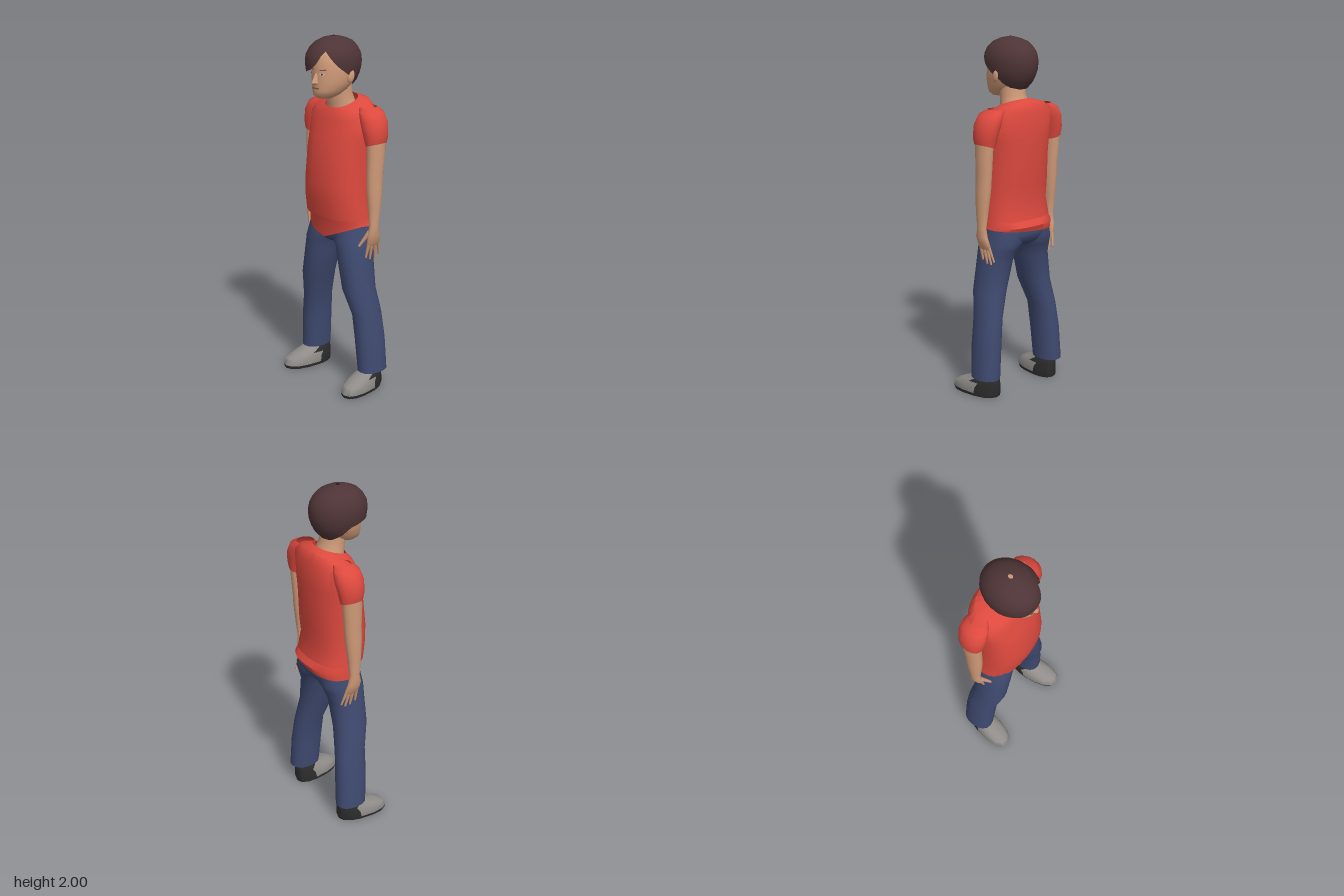
import * as THREE from 'three';
import { toCreasedNormals } from 'three/addons/utils/BufferGeometryUtils.js';

const mat = (name, color, side = THREE.FrontSide) => {
  const m = new THREE.MeshStandardMaterial({ color, side });
  m.name = name;
  return m;
};

// Skin a stack of point rings, listed from top to bottom.
function skinRings(rings, capped, crease = 0.9) {
  const n = rings[0].length, pos = [], idx = [];
  rings.forEach(r => r.forEach(p => pos.push(p.x, p.y, p.z)));
  for (let i = 0; i < rings.length - 1; i++) {
    for (let j = 0; j < n; j++) {
      const k = (j + 1) % n, u = i * n, l = u + n;
      idx.push(l + j, l + k, u + k, l + j, u + k, u + j);
    }
  }
  if (capped) {
    [0, rings.length - 1].forEach((r, end) => {
      const c = new THREE.Vector3();
      rings[r].forEach(p => c.addScaledVector(p, 1 / n));
      const ci = pos.length / 3, o = r * n;
      pos.push(c.x, c.y, c.z);
      for (let j = 0; j < n; j++) {
        const k = (j + 1) % n;
        if (end) idx.push(ci, o + k, o + j);
        else idx.push(ci, o + j, o + k);
      }
    });
  }
  const g = new THREE.BufferGeometry();
  g.setAttribute('position', new THREE.Float32BufferAttribute(pos, 3));
  g.setIndex(idx);
  return toCreasedNormals(g, crease);
}

// Section: [y, centre x, half width, front z, back z, forward tilt].
function loft(sections, { s = 1, n = 16, pow = 1, capped = true, adjust, crease } = {}) {
  const soft = v => Math.sign(v) * Math.abs(v) ** pow;
  const rings = sections.map(([y, cx, rx, zf, zb, tilt = 0], i) =>
    Array.from({ length: n }, (_, j) => {
      const a = j / n * Math.PI * 2, rz = (zf - zb) / 2;
      const dz = soft(Math.cos(a)) * rz;
      const p = new THREE.Vector3(s * cx + soft(Math.sin(a)) * rx, y + tilt * dz, (zf + zb) / 2 + dz);
      if (adjust) adjust(p, i);
      return p;
    }));
  return skinRings(rings, capped, crease);
}

// Linear interpolation through [key, value] pairs.
function sample(table, x) {
  for (let i = 1; i < table.length; i++) {
    const [x0, y0] = table[i - 1], [x1, y1] = table[i];
    if (x <= x1) return y0 + (y1 - y0) * (x - x0) / (x1 - x0);
  }
  return table[table.length - 1][1];
}

// Hair cap with a swept fringe and a parting on the left.
function hairGeometry() {
  const edge = [[-180, 1.72], [-140, 1.72], [-112, 1.75], [-92, 1.8], [-60, 1.815], [-30, 1.81],
    [0, 1.835], [15, 1.86], [25, 1.9], [33, 1.945], [45, 1.91], [65, 1.85], [80, 1.82],
    [95, 1.79], [112, 1.75], [140, 1.72], [180, 1.72]];
  const width = [[1.72, 0.6], [1.76, 0.82], [1.81, 0.96], [1.86, 1], [1.9, 0.98], [1.94, 0.85],
    [1.97, 0.66], [1.99, 0.38], [2, 0.08]];
  const rings = [], n = 40, rows = 12;
  for (let i = 0; i <= rows; i++) {
    const t = (i / rows) ** 1.6;
    rings.push(Array.from({ length: n }, (_, j) => {
      const deg = -180 + j / n * 360, a = deg * Math.PI / 180;
      const y = 2 - (2 - sample(edge, deg)) * t, w = sample(width, y);
      return new THREE.Vector3(-0.013 + Math.sin(a) * 0.137 * w, y, 0.024 + Math.cos(a) * 0.166 * w);
    }));
  }
  return skinRings(rings, false, 1.2);
}

export function createModel() {
  const root = new THREE.Group();
  root.name = 'standingFigure';
  const skin = mat('skin', 0xcf9a78), hair = mat('hair', 0x4e3436, THREE.DoubleSide);
  const red = mat('redCloth', 0xdd493e, THREE.DoubleSide), denim = mat('denim', 0x3f4a70, THREE.DoubleSide);
  const grey = mat('shoeGrey', 0x8f8c89), black = mat('shoeBlack', 0x2c2c2d);
  const white = mat('eyeWhite', 0xd8c4b4), lip = mat('lip', 0x8a5548);
  const add = (name, geo, m, parent = root) => {
    const mesh = new THREE.Mesh(geo, m);
    mesh.name = name;
    parent.add(mesh);
    return mesh;
  };

  // Shirt body, with a neckline lower at the front
  add('shirt', loft([
    [1.645, 0, 0.09, 0.06, -0.105, -0.35], [1.625, 0, 0.165, 0.075, -0.15, -0.3],
    [1.58, 0, 0.215, 0.085, -0.17, -0.2], [1.46, 0, 0.205, 0.115, -0.173],
    [1.38, 0, 0.2, 0.135, -0.17], [1.2, 0, 0.2, 0.157, -0.165], [1.1, 0, 0.205, 0.15, -0.15],
    [1.005, 0, 0.212, 0.135, -0.168]], { n: 24, pow: 0.85, capped: false }), red);

  // Uneven shirt tail over the hips
  add('shirtTail', loft([
    [1.02, 0, 0.203, 0.125, -0.16], [0.975, 0, 0.208, 0.115, -0.19], [0.94, 0, 0.212, 0.108, -0.178]],
  { n: 24, pow: 0.85, capped: false, adjust: (p, i) => {
    if (i < 2) return;
    if (p.z > 0) p.y = 0.88 + Math.abs(p.x) * (p.x > 0 ? 0.42 : 0.22);
    else p.y = 0.945 + p.x * 0.08;
  } }), red);

  // Trousers: seat
  add('trouserSeat', loft([
    [0.99, 0, 0.19, 0.08, -0.15], [0.93, 0, 0.2, 0.098, -0.165], [0.88, 0, 0.195, 0.095, -0.145],
    [0.855, 0, 0.13, 0.07, -0.11]], { n: 24, pow: 0.85 }), denim);

  // Neck and head
  add('neck', loft([
    [1.76, 0, 0.075, 0.07, -0.07], [1.69, 0, 0.073, 0.065, -0.075], [1.645, 0, 0.08, 0.056, -0.085, -0.3],
    [1.6, 0, 0.09, 0.05, -0.1, -0.3]]), skin);
  add('head', loft([
    [1.965, -0.005, 0.05, 0.08, -0.05], [1.93, -0.005, 0.092, 0.125, -0.08], [1.88, -0.005, 0.11, 0.152, -0.1],
    [1.83, -0.003, 0.112, 0.158, -0.105], [1.77, 0, 0.107, 0.162, -0.095], [1.72, 0, 0.085, 0.165, -0.05],
    [1.69, 0, 0.062, 0.163, 0], [1.675, 0, 0.04, 0.14, 0.05]], { n: 24, crease: 1.2 }), skin);
  add('hair', hairGeometry(), hair);
  add('nose', loft([
    [1.815, 0, 0.008, 0.163, 0.14], [1.775, 0, 0.014, 0.185, 0.14], [1.763, 0, 0.019, 0.19, 0.14],
    [1.752, 0, 0.014, 0.175, 0.14]], { n: 8 }), skin);
  const mouth = add('mouth', new THREE.BoxGeometry(0.046, 0.007, 0.008), lip);
  mouth.position.set(0, 1.733, 0.162);

  // Parts repeated on the right (s = -1) and left (s = 1)
  for (const s of [-1, 1]) {
    const side = s > 0 ? 'left' : 'right';

    // Eye, brow and ear
    const eye = add(side + 'Eye', new THREE.CircleGeometry(0.016, 10), white);
    eye.scale.y = 0.4;
    eye.position.set(s * 0.042, 1.812, 0.153);
    eye.rotation.y = s * 0.42;
    const pupil = add(side + 'Pupil', new THREE.CircleGeometry(0.0055, 8), hair);
    pupil.position.set(s * 0.042, 1.812, 0.155);
    pupil.rotation.y = s * 0.42;
    const brow = add(side + 'Brow', new THREE.BoxGeometry(0.038, 0.005, 0.006), lip);
    brow.position.set(s * 0.042, 1.834, 0.148);
    brow.rotation.set(0, s * 0.42, s * 0.12);
    const ear = add(side + 'Ear', new THREE.SphereGeometry(1, 10, 8), skin);
    ear.scale.set(0.014, 0.036, 0.022);
    ear.position.set(s * 0.112, 1.795, 0.012);
    ear.rotation.set(-0.2, s * -0.3, 0);

    // Sleeve
    add(side + 'Sleeve', loft([
      [1.63, 0.175, 0.045, -0.01, -0.11], [1.605, 0.205, 0.062, 0.02, -0.13],
      [1.55, 0.23, 0.066, 0.03, -0.135], [1.485, 0.245, 0.06, 0.025, -0.125],
      [1.435, 0.25, 0.048, 0.015, -0.115]], { s, capped: false,
      adjust: (p, i) => { if (i === 4) p.y += (s * p.x - 0.25) * 0.3; } }), red);

    // Arm and palm
    add(side + 'Arm', loft([
      [1.52, 0.245, 0.045, 0.01, -0.105], [1.4, 0.252, 0.042, 0.01, -0.105],
      [1.28, 0.25, 0.038, 0.01, -0.095], [1.2, 0.252, 0.038, 0.012, -0.09],
      [1.08, 0.256, 0.032, 0.005, -0.075], [0.98, 0.258, 0.022, -0.002, -0.062],
      [0.93, 0.257, 0.023, 0.01, -0.072], [0.875, 0.245, 0.018, 0.004, -0.086],
      [0.86, 0.242, 0.012, 0, -0.08]], { s, n: 14 }), skin);

    // Fingers and thumb: [start, end, thickness]
    const fingers = [
      [[0.246, 0.885, -0.008], [0.225, 0.79, -0.004], 0.01],
      [[0.246, 0.885, -0.03], [0.222, 0.772, -0.037], 0.01],
      [[0.246, 0.885, -0.052], [0.224, 0.772, -0.07], 0.0095],
      [[0.247, 0.885, -0.072], [0.228, 0.792, -0.098], 0.0085],
      [[0.25, 0.945, -0.006], [0.208, 0.86, 0.033], 0.012]];
    fingers.forEach(([a, b, r], i) => {
      const p = new THREE.Vector3(s * a[0], a[1], a[2]), q = new THREE.Vector3(s * b[0], b[1], b[2]);
      const d = p.clone().sub(q);
      const f = add(side + (i < 4 ? 'Finger' + (i + 1) : 'Thumb'),
        new THREE.CylinderGeometry(r * 1.1, r * 0.6, d.length(), 8), skin);
      f.position.copy(p).add(q).multiplyScalar(0.5);
      f.quaternion.setFromUnitVectors(new THREE.Vector3(0, 1, 0), d.normalize());
    });

    // Trouser leg
    add(side + 'TrouserLeg', loft([
      [0.95, 0.1, 0.098, 0.085, -0.15], [0.88, 0.108, 0.104, 0.1, -0.155], [0.84, 0.125, 0.096, 0.102, -0.135],
      [0.77, 0.137, 0.09, 0.102, -0.11], [0.6, 0.172, 0.082, 0.1, -0.1], [0.45, 0.211, 0.067, 0.065, -0.118],
      [0.3, 0.23, 0.069, 0.06, -0.128], [0.11, 0.244, 0.068, 0.05, -0.132]], { s, pow: 0.9 }), denim);

    // Shoe: grey upper in front, black heel and sole
    const shoe = loft([
      [0.135, 0.235, 0.045, 0.03, -0.1], [0.115, 0.235, 0.055, 0.055, -0.112],
      [0.09, 0.235, 0.064, 0.125, -0.115], [0.065, 0.235, 0.07, 0.175, -0.115],
      [0.03, 0.235, 0.074, 0.19, -0.115], [0.012, 0.235, 0.07, 0.185, -0.11]],
    { s, n: 14, pow: 0.85, crease: 0.7, adjust: p => { p.x += s * 0.12 * p.z; } });
    const v = shoe.attributes.position;
    for (let i = 0; i < v.count; i += 3) {
      const z = (v.getZ(i) + v.getZ(i + 1) + v.getZ(i + 2)) / 3;
      const y = (v.getY(i) + v.getY(i + 1) + v.getY(i + 2)) / 3;
      shoe.addGroup(i, 3, z < -0.005 || y < 0.025 ? 1 : 0);
    }
    add(side + 'Shoe', shoe, [grey, black]);
  }

  // Rest the soles on the ground
  root.children.forEach(c => { if (c.name.endsWith('Shoe')) c.position.y = -0.012; });
  return root;
}
